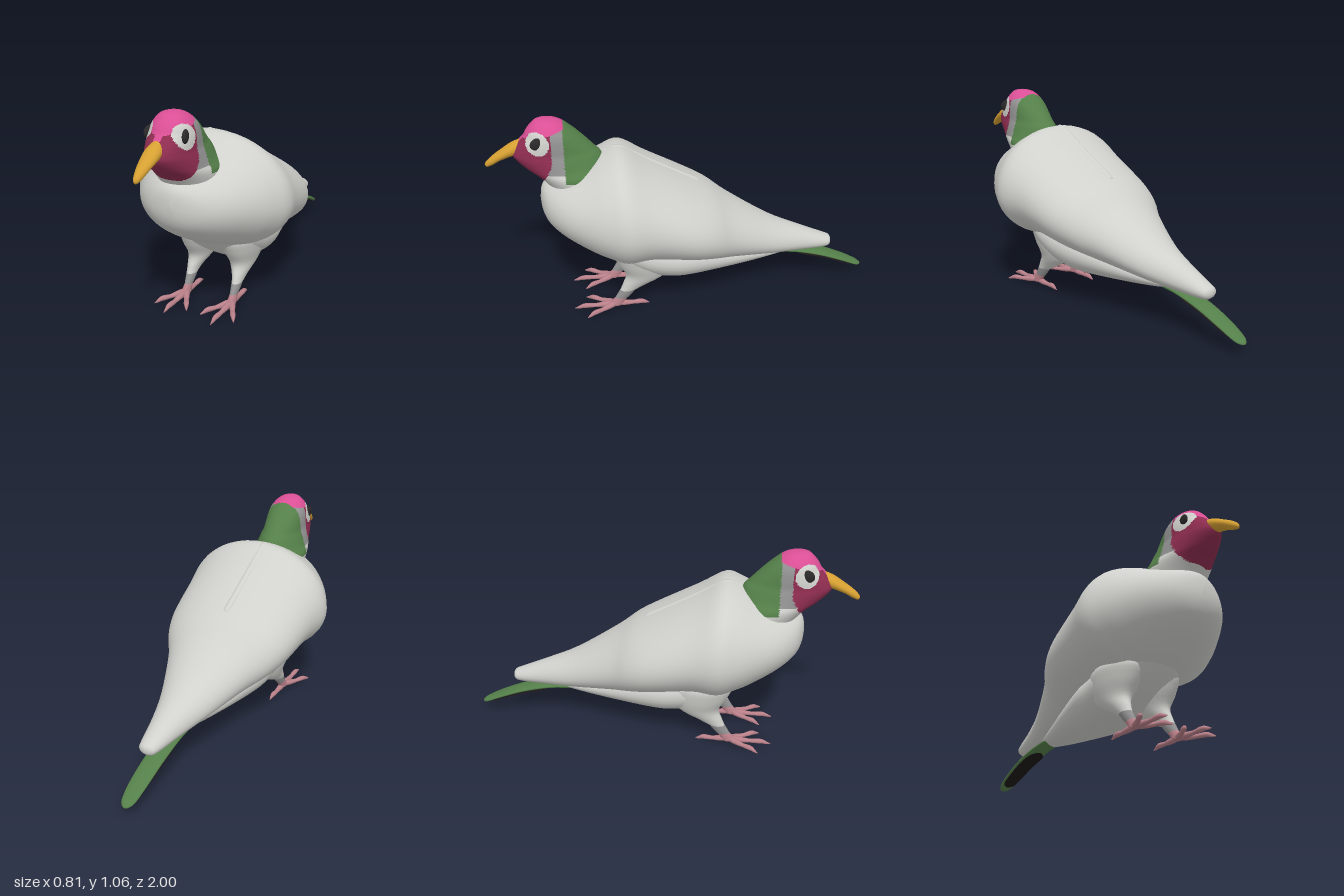
import * as THREE from 'three';

const mat = (name, color) => {
  const m = new THREE.MeshStandardMaterial({ color });
  m.name = name;
  return m;
};

// Catmull-Rom sampling of a table of rows, every column together
function refine(rows, steps) {
  const out = [];
  const at = i => rows[Math.min(Math.max(i, 0), rows.length - 1)];
  for (let i = 0; i < rows.length - 1; i++) {
    for (let s = 0; s < steps; s++) {
      const t = s / steps;
      out.push(rows[i].map((_, c) => {
        const [a, b, d, e] = [at(i - 1)[c], at(i)[c], at(i + 1)[c], at(i + 2)[c]];
        return b + 0.5 * t * (d - a + t * (2 * a - 5 * b + 4 * d - e + t * (3 * (b - d) + e - a)));
      }));
    }
  }
  out.push(rows[rows.length - 1]);
  return out;
}

// Skin over rings; an optional rule picks a material index for each triangle
function loft(rows, steps, segs, point, pick) {
  const rings = refine(rows, steps);
  const pos = [];
  for (const r of rings) {
    for (let j = 0; j < segs; j++) pos.push(...point(r, (j / segs) * Math.PI * 2));
  }
  const buckets = [];
  const add = (...tri) => {
    const mid = [0, 1, 2].map(k => (pos[tri[0] * 3 + k] + pos[tri[1] * 3 + k] + pos[tri[2] * 3 + k]) / 3);
    const m = pick ? pick(...mid) : 0;
    (buckets[m] ||= []).push(...tri);
  };
  for (let i = 0; i < rings.length - 1; i++) {
    for (let j = 0; j < segs; j++) {
      const a = i * segs + j, b = i * segs + (j + 1) % segs;
      add(a, a + segs, b);
      add(b, a + segs, b + segs);
    }
  }
  const geo = new THREE.BufferGeometry();
  geo.setAttribute('position', new THREE.Float32BufferAttribute(pos, 3));
  const index = [];
  buckets.forEach((list, m) => {
    if (pick) geo.addGroup(index.length, list.length, m);
    for (const v of list) index.push(v);
  });
  geo.setIndex(index);
  geo.computeVertexNormals();
  return geo;
}

// Ring shapes: upright sections along z, and level sections along y
const alongZ = ([z, top, bottom, w, mid = (top + bottom) / 2], a) => {
  const s = Math.sin(a);
  return [w * Math.cos(a), mid + s * (s > 0 ? top - mid : mid - bottom), z];
};
const alongY = ([y, back, front, w, x = 0], a) =>
  [x + w * Math.cos(a), y, (back + front) / 2 + (front - back) / 2 * Math.sin(a)];

export function createModel() {
  const light = mat('pale plumage', 0xd0d0cc);
  const grey = mat('grey plumage', 0x929292);
  const pink = mat('pink crown', 0xdb4f96);
  const crimson = mat('crimson face', 0x8f2d50);
  const green = mat('green plumage', 0x55804a);
  const yellow = mat('yellow beak', 0xd6a032);
  const skin = mat('pink skin', 0xb98089);
  const dark = mat('dark undertail', 0x1e1918);
  const black = mat('eye black', 0x2b2929);

  const model = new THREE.Group();
  model.name = 'bird';
  const add = (name, geo, material, parent = model) => {
    const mesh = new THREE.Mesh(geo, material);
    mesh.name = name;
    parent.add(mesh);
    return mesh;
  };

  // Breast, back and folded wings: z, top, bottom, half width, widest height
  add('wingsAndBack', loft([
    [0.746, 0.64, 0.62, 0, 0.63], [0.735, 0.70, 0.56, 0.07, 0.62], [0.70, 0.735, 0.50, 0.15, 0.61],
    [0.62, 0.77, 0.435, 0.24, 0.60], [0.5, 0.825, 0.365, 0.325, 0.585], [0.42, 0.868, 0.33, 0.37, 0.575],
    [0.33, 0.888, 0.298, 0.403, 0.57], [0.2, 0.81, 0.31, 0.38, 0.55], [0, 0.70, 0.285, 0.352, 0.49],
    [-0.12, 0.635, 0.265, 0.305, 0.45], [-0.23, 0.555, 0.245, 0.235, 0.40], [-0.45, 0.42, 0.22, 0.14, 0.31],
    [-0.62, 0.345, 0.21, 0.085, 0.27], [-0.76, 0.285, 0.208, 0.052, 0.247], [-0.795, 0.27, 0.22, 0.035, 0.245],
    [-0.805, 0.25, 0.24, 0, 0.245],
  ], 4, 48, alongZ), light);

  // Overlapping feather edge on the back
  const fold = add('wingFold', loft([
    [0.42, 0.868, 0.868, 0], [0.38, 0.884, 0.85, 0.016], [0.33, 0.892, 0.85, 0.02], [0.2, 0.816, 0.78, 0.02],
    [0, 0.708, 0.67, 0.02], [-0.07, 0.671, 0.63, 0.02], [-0.071, 0.65, 0.65, 0],
  ], 2, 12, alongZ), light);
  fold.position.x = -0.02;

  add('belly', loft([
    [0.54, 0.43, 0.42, 0], [0.5, 0.46, 0.385, 0.08], [0.4, 0.5, 0.295, 0.17], [0.3, 0.48, 0.225, 0.21],
    [0.2, 0.45, 0.17, 0.215], [0.1, 0.42, 0.148, 0.21], [0, 0.40, 0.145, 0.20], [-0.2, 0.34, 0.162, 0.15],
    [-0.4, 0.28, 0.183, 0.09], [-0.54, 0.25, 0.205, 0.045], [-0.6, 0.23, 0.225, 0],
  ], 4, 32, alongZ), light);

  // Neck and head: one skin with painted regions
  const paint = (x, y, z) => {
    if (Math.abs(x) > 0.05 && Math.hypot(z - 0.733, y - 0.965) < 0.056) return 0;
    if (y > (z < 0.8 ? 0.98 + (0.8 - z) * 0.22 : 0.98 - (z - 0.8)) && z > 0.605) return 2;
    if (z < 0.61 && y > 0.77) return 4;
    if (z > 0.67 + Math.max(0, 0.86 - y) * 0.5 && y > 0.755) return 3;
    return y > 0.81 ? 1 : 0;
  };
  add('head', loft([
    [0.66, 0.38, 0.66, 0.13], [0.73, 0.37, 0.71, 0.15], [0.78, 0.385, 0.757, 0.15], [0.82, 0.405, 0.81, 0.132],
    [0.87, 0.43, 0.856, 0.118], [0.90, 0.458, 0.863, 0.11], [0.94, 0.495, 0.84, 0.108], [0.98, 0.535, 0.803, 0.103],
    [1.01, 0.568, 0.785, 0.092], [1.04, 0.605, 0.76, 0.068], [1.057, 0.645, 0.737, 0.04], [1.064, 0.695, 0.695, 0],
  ], 8, 112, alongY, paint), [light, grey, pink, crimson, green]).position.x = -0.01;

  for (const side of [1, -1]) {
    const eye = add(side > 0 ? 'leftEye' : 'rightEye', new THREE.SphereGeometry(1, 20, 14), black);
    eye.scale.set(0.014, 0.032, 0.038);
    eye.position.set(side * 0.088 - 0.01, 0.967, 0.731);
    eye.rotation.y = side * 0.3;
  }

  add('beak', loft([
    [1.0, 0.837, 0.833, 0], [0.99, 0.853, 0.822, 0.013], [0.96, 0.88, 0.833, 0.024], [0.92, 0.907, 0.855, 0.033],
    [0.86, 0.945, 0.876, 0.04], [0.80, 0.965, 0.885, 0.03], [0.77, 0.95, 0.9, 0],
  ], 4, 24, alongZ), yellow).position.x = -0.01;

  // Tail with a dark plate beneath
  add('tail', loft([
    [-0.4, 0.225, 0.215, 0], [-0.45, 0.235, 0.2, 0.045], [-0.6, 0.218, 0.187, 0.05], [-0.75, 0.18, 0.15, 0.051],
    [-0.88, 0.127, 0.1, 0.047], [-0.96, 0.088, 0.062, 0.037], [-0.99, 0.07, 0.053, 0.02], [-1.0, 0.06, 0.056, 0],
  ], 4, 24, alongZ), green).position.x = -0.01;
  add('undertail', loft([
    [-0.6, 0.19, 0.186, 0], [-0.64, 0.18, 0.173, 0.042], [-0.75, 0.153, 0.146, 0.046], [-0.88, 0.103, 0.096, 0.041],
    [-0.93, 0.078, 0.073, 0.032], [-0.95, 0.068, 0.066, 0],
  ], 3, 16, alongZ), dark).position.x = -0.01;

  // Legs and feet: y, back z, front z, half width, x
  for (const side of [1, -1]) {
    const leg = new THREE.Group();
    leg.name = side > 0 ? 'leftLeg' : 'rightLeg';
    leg.position.x = side * 0.13 - 0.01;
    model.add(leg);
    const section = ([y, back, front, w, x], a) => alongY([y, back, front, w, x * side], a);
    add('thigh', loft([
      [0.105, 0.29, 0.373, 0.025, 0], [0.14, 0.225, 0.358, 0.036, -0.002], [0.2, 0.12, 0.34, 0.066, -0.01],
      [0.28, 0.08, 0.385, 0.095, -0.015], [0.36, 0.09, 0.40, 0.10, -0.02], [0.4, 0.24, 0.24, 0, -0.02],
    ], 4, 24, section), light, leg);
    add('ankleBand', loft([
      [0.055, 0.333, 0.402, 0.018, 0], [0.08, 0.31, 0.388, 0.022, 0], [0.106, 0.289, 0.373, 0.0255, 0],
    ], 3, 20, section), grey, leg);
    add('shank', loft([
      [0.008, 0.39, 0.39, 0, 0], [0.012, 0.365, 0.425, 0.02, 0], [0.035, 0.35, 0.42, 0.02, 0],
      [0.058, 0.332, 0.401, 0.018, 0],
    ], 3, 20, section), skin, leg);

    // Three toes forward, one back: turn, length
    for (const [turn, length] of [[0, 0.225], [0.52, 0.185], [-0.52, 0.185], [Math.PI, 0.175]]) {
      const toe = add('toe', loft([
        [1, 0.008, 0.004, 0], [0.9, 0.02, 0.003, 0.006], [0.8, 0.03, 0.006, 0.011], [0.68, 0.031, 0.006, 0.014],
        [0.5, 0.027, 0.006, 0.012], [0.32, 0.032, 0.004, 0.015], [0.1, 0.036, 0.006, 0.016], [-0.05, 0.02, 0.016, 0],
      ].map(([z, ...rest]) => [z * length, ...rest]), 3, 12, alongZ), skin, leg);
      toe.rotation.y = turn;
      toe.position.z = 0.395;
    }
  }
  return model;
}
